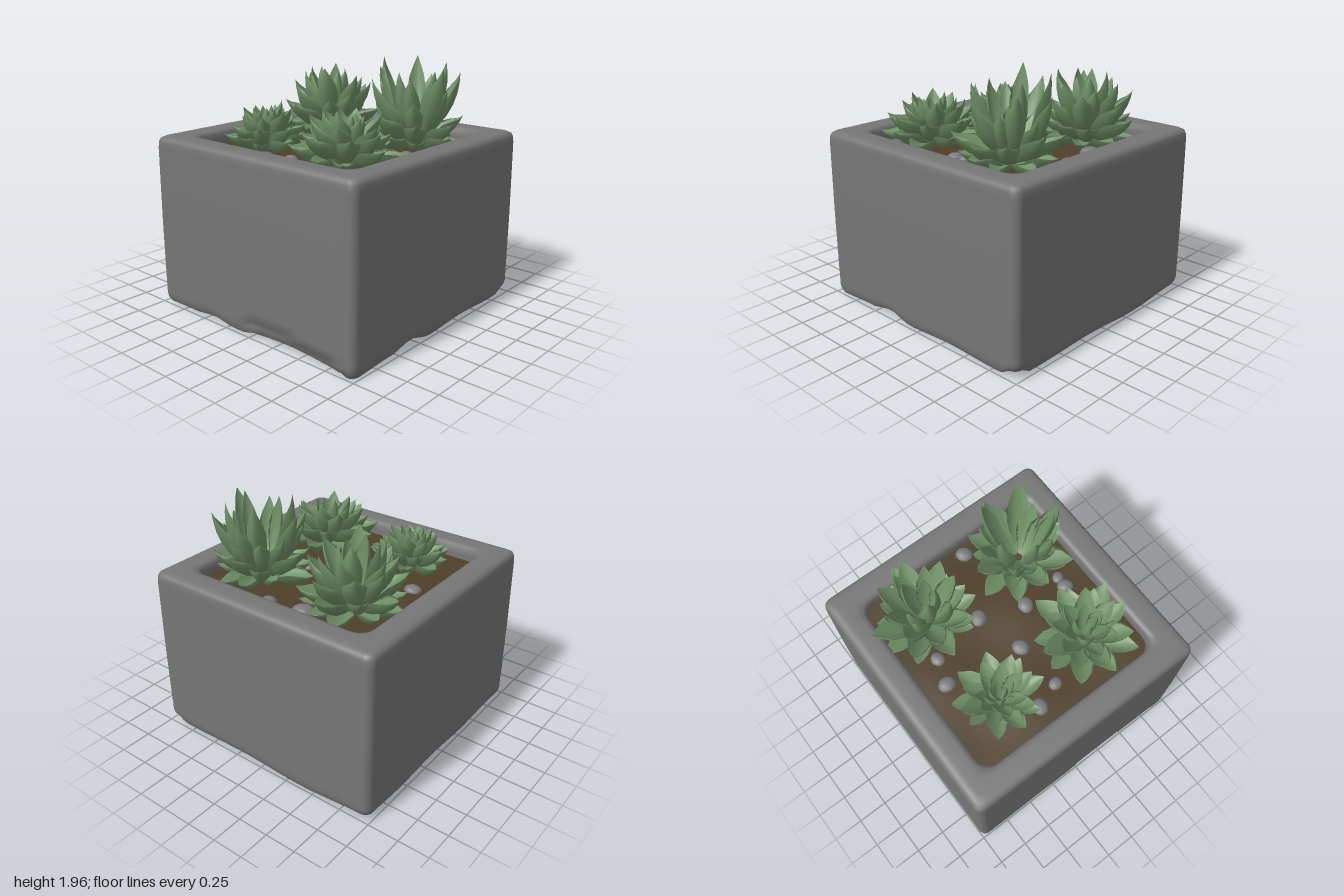
import * as THREE from 'three';
import { mergeGeometries } from 'three/addons/utils/BufferGeometryUtils.js';

const SOIL_Y = 1.26;

// Small seeded generator for natural variation
function seeded(seed) {
  return () => {
    seed = (seed * 16807) % 2147483647;
    return seed / 2147483647;
  };
}

// Points [x, z] around a square with rounded corners
function roundedSquare(half, r, perSide = 24, perCorner = 6) {
  const pts = [];
  const c = half - r;
  for (let k = 0; k < 4; k++) {
    const a0 = (k * Math.PI) / 2;
    const cs = Math.cos(a0), sn = Math.sin(a0);
    const add = (x, z) => pts.push([x * cs - z * sn, x * sn + z * cs]);
    for (let i = 0; i < perSide; i++) add(half, -c + (2 * c * i) / perSide);
    for (let i = 0; i < perCorner; i++) {
      const a = (i / perCorner) * Math.PI / 2;
      add(c + r * Math.cos(a), c + r * Math.sin(a));
    }
  }
  return pts;
}

// Skin rings [half, cornerRadius, y]; adjust() may move each point
function skin(rings, adjust) {
  const pos = [], idx = [];
  let n = 0;
  for (const [half, r, y] of rings) {
    const pts = roundedSquare(half, r);
    n = pts.length;
    for (const [x, z] of pts) {
      const p = new THREE.Vector3(x, y, z);
      adjust(p);
      pos.push(p.x, p.y, p.z);
    }
  }
  for (let j = 0; j < rings.length - 1; j++) {
    for (let i = 0; i < n; i++) {
      const a = j * n + i, b = j * n + ((i + 1) % n);
      idx.push(a, a + n, b, b, a + n, b + n);
    }
  }
  const g = new THREE.BufferGeometry();
  g.setAttribute('position', new THREE.Float32BufferAttribute(pos, 3));
  g.setIndex(idx);
  g.computeVertexNormals();
  return g;
}

// Worn lower edge, with a broken patch on the front
function wear(p) {
  if (p.y > 0.2) return;
  const low = 1 - p.y / 0.2;
  p.y += low * 0.018 * (1 + Math.sin(p.x * 5 + p.z * 3.1) * Math.cos(p.z * 4 - p.x));
  if (p.z > 0.9 && p.x > 0 && p.x < 0.85 && p.y < 0.15 - 0.06 * p.x) p.z -= 0.03;
  if (p.z > 0.9) p.y += low * 0.03 * Math.max(0, 1 - Math.abs(p.x + 0.4) / 0.2);
  if (p.x > 0.9) p.y += low * 0.05 * Math.max(0, 1 - Math.abs(p.z - 0.33) / 0.2);
  if (p.x > 0.9 && p.z < -0.9) p.y += low * 0.04;
}

// Thick, cupped, pointed leaf growing along +z from the origin
function leafGeometry(length, width, curl) {
  const g = new THREE.SphereGeometry(1, 10, 9);
  const pos = g.attributes.position;
  for (let i = 0; i < pos.count; i++) {
    const t = (1 - pos.getY(i)) / 2;
    const across = Math.hypot(pos.getX(i), pos.getZ(i)) || 1;
    const f = Math.sin(Math.PI * Math.min(1, 0.1 + 0.9 * t ** 1.35));
    const x = (pos.getX(i) / across) * f * width / 2;
    const up = (pos.getZ(i) / across) * f * width * (pos.getZ(i) < 0 ? 0.2 : 0.08);
    const poleFix = across === 1 && pos.getX(i) === 0 && pos.getZ(i) === 0 ? 0 : 1;
    pos.setXYZ(i, x * poleFix, up * poleFix + 1.6 * x * x / width + curl * length * (t * t - t), t * length);
  }
  g.computeVertexNormals();
  return g;
}

// Rosette from whorls [count, tilt in degrees, length, width, start radius]
function rosetteGeometry(whorls, seed) {
  const rand = seeded(seed);
  const leaves = [];
  whorls.forEach(([count, tilt, length, width, start], w) => {
    for (let i = 0; i < count; i++) {
      const size = 0.88 + 0.2 * rand();
      const g = leafGeometry(length * size, width * size, 0.35);
      g.rotateX(-THREE.MathUtils.degToRad(tilt + (rand() - 0.5) * 12));
      g.translate(0, 0.02 + w * 0.015, start);
      g.rotateY(((i + w * 0.5 + (rand() - 0.5) * 0.3) / count) * Math.PI * 2 + w * 0.3);
      leaves.push(g);
    }
  });
  return mergeGeometries(leaves);
}

export function createModel() {
  const model = new THREE.Group();
  model.name = 'succulentPlanter';
  const mat = (name, color, side = THREE.FrontSide) => {
    const m = new THREE.MeshStandardMaterial({ color, side });
    m.name = name;
    return m;
  };
  const concrete = mat('concrete grey', 0x767676, THREE.DoubleSide);
  const earth = mat('earth brown', 0x4e3f29, THREE.DoubleSide);
  const leafGreen = mat('leaf green', 0x6f9066);
  const stone = mat('pebble grey', 0x7b7a7d);
  const add = (name, geometry, material, parent = model) => {
    const m = new THREE.Mesh(geometry, material);
    m.name = name;
    parent.add(m);
    return m;
  };

  // Open-bottomed planter: outer wall, rounded rim and inner lip
  const rings = [
    [0.975, 0.06, 0], [0.99, 0.06, 0.03], [0.997, 0.06, 0.07], [0.997, 0.06, 0.11],
    [0.997, 0.06, 0.16], [0.998, 0.06, 0.22], [1, 0.06, 0.7], [0.998, 0.06, 1.28],
    [0.995, 0.06, 1.325], [0.985, 0.06, 1.352], [0.96, 0.06, 1.367], [0.92, 0.07, 1.37],
    [0.83, 0.1, 1.37], [0.8, 0.11, 1.362], [0.785, 0.12, 1.34], [0.78, 0.12, 1.3],
    [0.78, 0.12, SOIL_Y - 0.06],
  ];
  add('planter', skin(rings, wear), concrete);

  // Gently uneven soil
  const soil = new THREE.PlaneGeometry(1.57, 1.57, 20, 20).rotateX(-Math.PI / 2);
  const sp = soil.attributes.position;
  for (let i = 0; i < sp.count; i++) {
    const x = sp.getX(i), z = sp.getZ(i);
    sp.setY(i, SOIL_Y + 0.012 * Math.sin(x * 7) * Math.cos(z * 6));
  }
  soil.computeVertexNormals();
  add('soil', soil, earth);

  // Pebbles: x, z, size
  const pebbles = new THREE.Group();
  pebbles.name = 'pebbles';
  model.add(pebbles);
  [
    [-0.61, 0.08, 0.07], [0.24, -0.07, 0.07], [0.58, -0.01, 0.065], [0.58, -0.1, 0.05],
    [0, 0.18, 0.07], [0.03, 0.56, 0.055], [-0.17, 0.63, 0.07], [0.63, 0.6, 0.06],
    [-0.11, -0.2, 0.07], [0.12, -0.7, 0.07], [-0.17, -0.66, 0.09], [-0.55, -0.12, 0.06],
    [-0.27, -0.72, 0.06],
  ].forEach(([x, z, s], i) => {
    const p = add('pebble', new THREE.IcosahedronGeometry(s, 1), stone, pebbles);
    p.position.set(x, SOIL_Y + 0.01, z);
    p.scale.set(1, 0.55, 0.88);
    p.rotation.y = i * 1.3;
  });

  // Tall, open rosettes behind; low, bowl-shaped rosettes in front
  const tall = [
    [9, 14, 0.37, 0.17, 0.05], [8, 32, 0.42, 0.18, 0.04], [8, 50, 0.47, 0.17, 0.03],
    [6, 64, 0.53, 0.16, 0.03], [5, 76, 0.53, 0.14, 0.02],
  ];
  const low = [
    [9, 17, 0.39, 0.18, 0.04], [8, 32, 0.37, 0.17, 0.03], [7, 48, 0.36, 0.15, 0.02],
    [6, 62, 0.33, 0.13, 0.02], [4, 76, 0.29, 0.1, 0.01],
  ];
  [
    ['backRightRosette', -0.43, -0.41, tall, 1, 0.94, 11],
    ['backLeftRosette', 0.43, -0.41, tall.map((w, i) => (i > 2 ? [w[0], w[1] - 2, w[2] * 1.1, w[3], 0.08] : w)), 0.96, 1.03, 29],
    ['frontLeftRosette', 0.42, 0.4, low, 1, 1.06, 47],
    ['frontRightRosette', -0.38, 0.42, low, 0.82, 0.95, 83],
  ].forEach(([name, x, z, whorls, spread, rise, seed]) => {
    const r = add(name, rosetteGeometry(whorls, seed), leafGreen);
    r.position.set(x, SOIL_Y, z);
    r.scale.set(spread, rise, spread);
  });
  return model;
}
